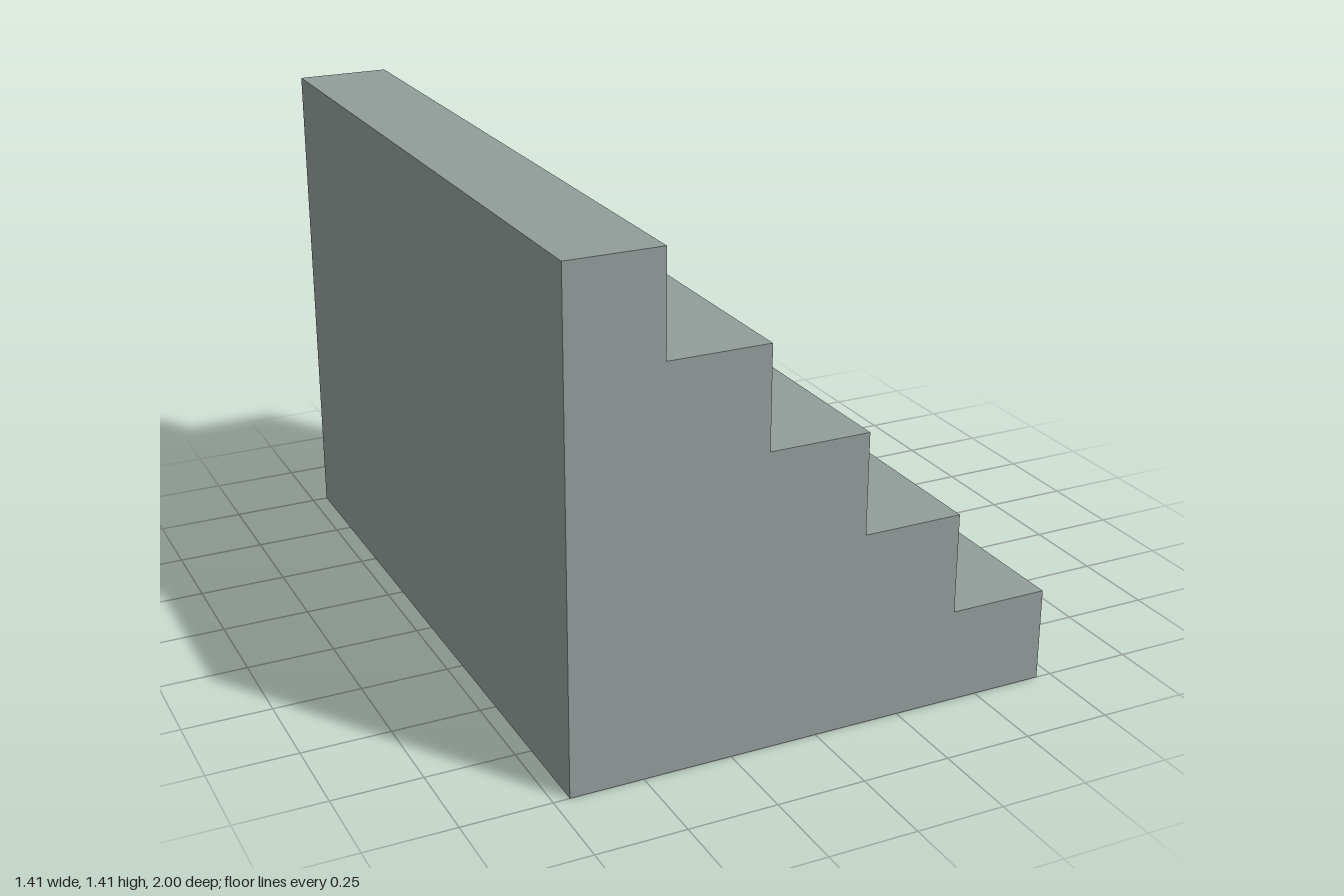
import * as THREE from 'three';

export function createModel() {
  const group = new THREE.Group();
  group.name = 'staircase';

  const stone = new THREE.MeshStandardMaterial({ color: 0x929d9a });
  stone.name = 'grey stone';

  const half = 0.705, rise = 0.286, run = 0.286, steps = 5;
  const width = 2, firstRise = 0.267;

  // Stepped side profile, climbing from the low step at +x to the top at -x
  const profile = new THREE.Shape();
  profile.moveTo(-half, 0);
  profile.lineTo(half, 0);
  for (let i = 0; i < steps; i++) {
    const y = firstRise + i * rise;
    profile.lineTo(half - i * run, y);
    profile.lineTo(i === steps - 1 ? -half : half - (i + 1) * run, y);
  }
  profile.closePath();

  // Solid flight of stairs across the full width
  const geometry = new THREE.ExtrudeGeometry(profile, { depth: width, bevelEnabled: false });
  geometry.translate(0, 0, -width / 2);
  const stairs = new THREE.Mesh(geometry, stone);
  stairs.name = 'stairs';
  group.add(stairs);

  return group;
}
